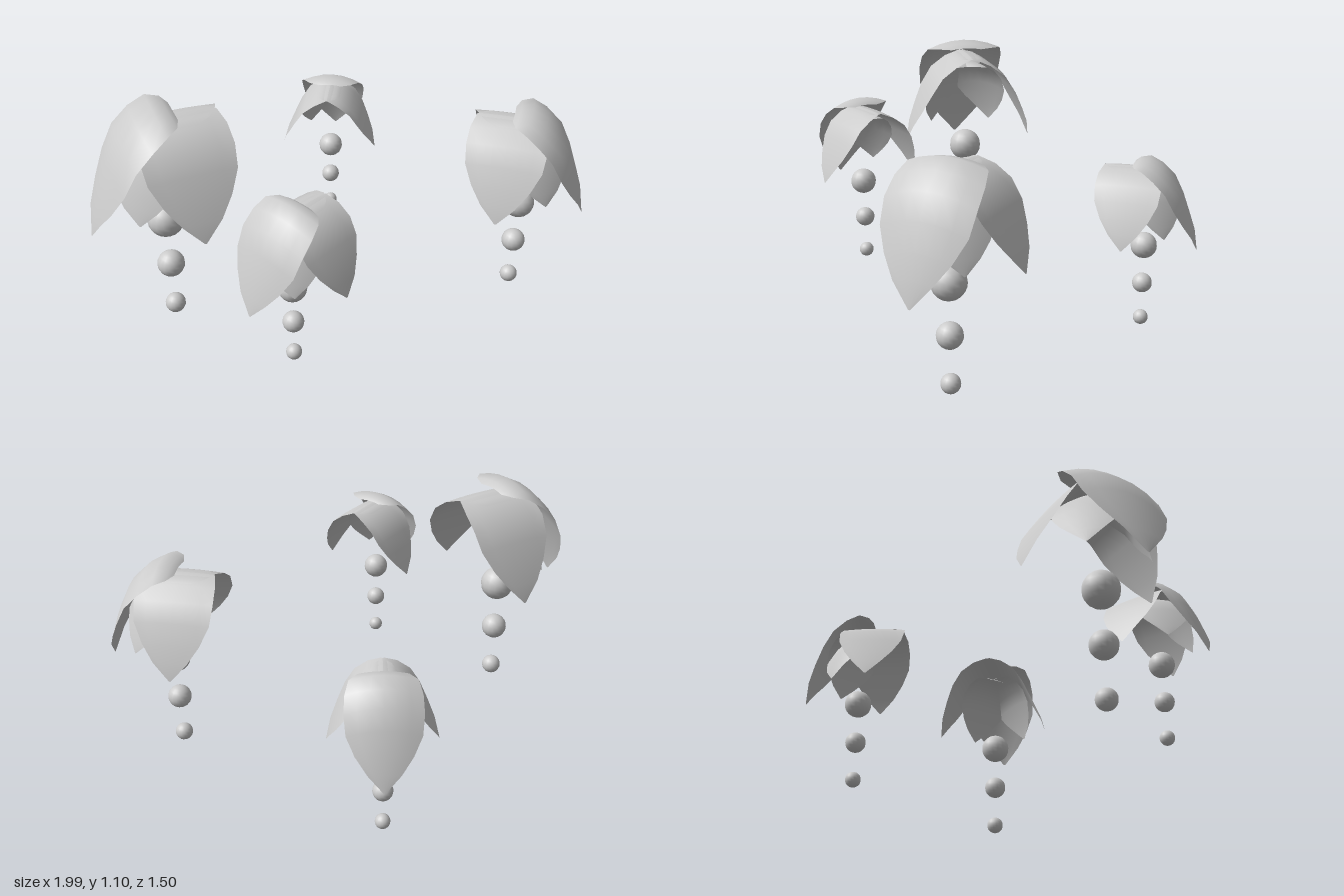
import * as THREE from 'three';

const material = new THREE.MeshStandardMaterial({ color: 0xcccccc, side: THREE.DoubleSide });

// Petal cross-sections from base to tip: [reach, drop below the top, half width]
const SECTIONS = [
  [-0.07, 0.03, 0.07], [-0.045, 0.012, 0.13], [0.01, 0, 0.175], [0.08, 0.035, 0.195],
  [0.15, 0.1, 0.2], [0.2, 0.2, 0.19], [0.24, 0.31, 0.145], [0.275, 0.41, 0.085], [0.297, 0.512, 0.004],
];
const COLS = 6;

// Drooping petal reaching along +x, with its long edges curled down by cup
function petalGeometry({ top, reach, drop, width, cup }) {
  const pos = [], index = [];
  SECTIONS.forEach(([r, d, w], i) => {
    for (let j = 0; j <= COLS; j++) {
      const t = (j / COLS) * 2 - 1;
      const curl = cup * (t * w / 0.2) ** 2;
      pos.push(r * reach - curl * 0.4, top - d * drop - curl, t * w * width);
    }
    if (i === 0) return;
    for (let j = 0; j < COLS; j++) {
      const a = (i - 1) * (COLS + 1) + j, b = a + COLS + 1;
      index.push(a, a + 1, b, a + 1, b + 1, b);
    }
  });
  const geo = new THREE.BufferGeometry();
  geo.setAttribute('position', new THREE.Float32BufferAttribute(pos, 3));
  geo.setIndex(index);
  geo.computeVertexNormals();
  return geo;
}

// Petal kinds; side petals and inner petals come in mirrored pairs
const PETALS = [
  { name: 'topPetal', angles: [0], shift: 0, top: 0.515, reach: 1, drop: 1, width: 1, cup: 0.05 },
  { name: 'sidePetal', angles: [90, -90], shift: -0.08, top: 0.465, reach: 1, drop: 0.79, width: 0.91, cup: 0.008 },
  { name: 'innerPetal', angles: [48, -48], shift: 0, top: 0.42, reach: 0.66, drop: 0.63, width: 0.8, cup: 0.03 },
];

// Hanging beads: [height, radius]
const BEADS = [[0, 0.075], [-0.23, 0.057], [-0.445, 0.043]];

function flower() {
  const group = new THREE.Group();
  for (const kind of PETALS) {
    const geo = petalGeometry(kind);
    for (const angle of kind.angles) {
      const petal = new THREE.Mesh(geo, material);
      petal.name = kind.name;
      petal.rotation.y = -THREE.MathUtils.degToRad(angle);
      petal.position.x = kind.shift;
      group.add(petal);
    }
  }
  for (const [y, r] of BEADS) {
    const bead = new THREE.Mesh(new THREE.SphereGeometry(r, 16, 12), material);
    bead.name = 'bead';
    bead.position.y = y;
    group.add(bead);
  }
  return group;
}

// Flowers: position of the upper bead, scale and heading in degrees
const FLOWERS = [
  [-0.7, 0.585, 0.035, 1, 180],
  [-0.365, 0.53, 0.565, 0.74, 156],
  [0.27, 0.361, -0.545, 0.74, -60],
  [0.755, 0.477, 0.365, 0.89, 39],
];

export function createModel() {
  const model = new THREE.Group();
  model.name = 'hangingFlowers';
  for (const [x, y, z, scale, heading] of FLOWERS) {
    const f = flower();
    f.name = 'flower';
    f.position.set(x, y, z);
    f.scale.setScalar(scale);
    f.rotation.y = -THREE.MathUtils.degToRad(heading);
    model.add(f);
  }
  return model;
}
